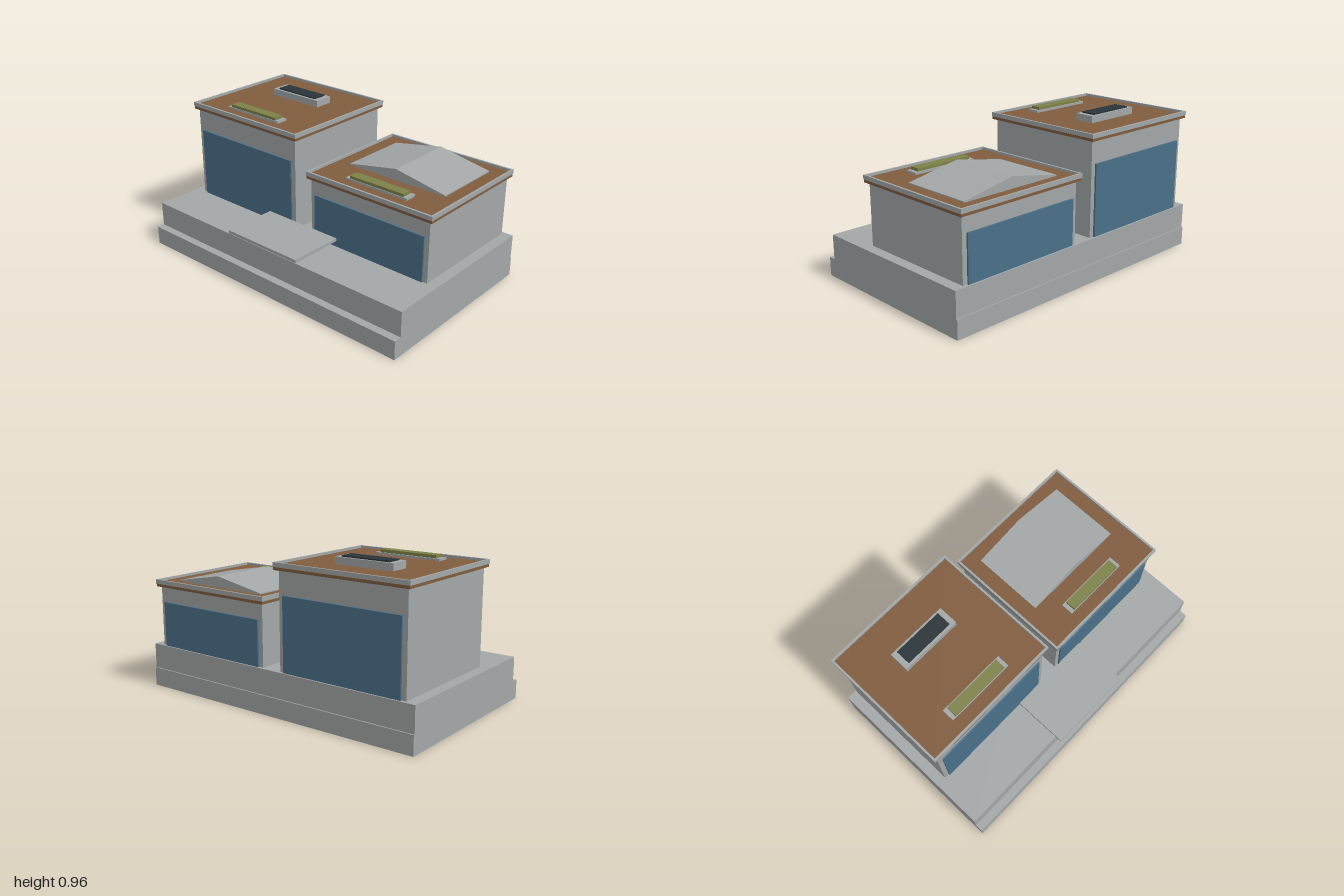
import * as THREE from 'three';

export function createModel() {
  const mat = (name, color) => {
    const m = new THREE.MeshStandardMaterial({ color });
    m.name = name;
    return m;
  };
  const concrete = mat('concrete', 0xa3a7a7);
  const timber = mat('timber', 0x805c3e);
  const glass = mat('glass', 0x4a7088);
  const foliage = mat('foliage', 0x7c8248);
  const panel = mat('dark panel', 0x2a3438);

  const model = new THREE.Group();
  model.name = 'pavilions';

  const add = (parent, name, geometry, material) => {
    const mesh = new THREE.Mesh(geometry, material);
    mesh.name = name;
    parent.add(mesh);
    return mesh;
  };
  // Box given by its lower and upper limits on each axis
  const box = (parent, name, material, [x0, x1], [y0, y1], [z0, z1]) =>
    add(parent, name, new THREE.BoxGeometry(x1 - x0, y1 - y0, z1 - z0), material)
      .position.set((x0 + x1) / 2, (y0 + y1) / 2, (z0 + z1) / 2);

  // Rectangular roof rim, open in the middle
  const rim = (parent, [x0, x1], [y0, y1], [z0, z1], t) => {
    const rect = (Type, a, b, c, d) => new Type([
      new THREE.Vector2(a, c), new THREE.Vector2(b, c),
      new THREE.Vector2(b, d), new THREE.Vector2(a, d),
    ]);
    const shape = rect(THREE.Shape, x0, x1, -z1, -z0);
    shape.holes.push(rect(THREE.Path, x0 + t, x1 - t, -z1 + t, -z0 - t));
    const g = new THREE.ExtrudeGeometry(shape, { depth: y1 - y0, bevelEnabled: false });
    g.rotateX(-Math.PI / 2).translate(0, y0, 0);
    add(parent, 'parapet', g, concrete);
  };

  // Stepped base
  box(model, 'lowerPlinth', concrete, [-1, 1], [0, 0.12], [-0.6, 0.6]);
  box(model, 'upperPlinth', concrete, [-1, 1], [0.12, 0.28], [-0.592, 0.55]);

  // Entrance slab between the blocks
  box(model, 'entranceCanopy', concrete, [-0.28, 0.28], [0.323, 0.342], [0.245, 0.6]);

  // One block: walls, glazing front and back, roof and planter
  const block = (name, cx, wallTop, glassTop) => {
    const g = new THREE.Group();
    g.name = name;
    model.add(g);
    const span = (half) => [cx - half, cx + half];
    box(g, 'walls', concrete, span(0.433), [0.28, wallTop], [-0.572, 0.228]);
    box(g, 'frontGlazing', glass, span(0.402), [0.28, glassTop], [0.228, 0.237]);
    box(g, 'backGlazing', glass, span(0.402), [0.28, glassTop], [-0.583, -0.572]);
    box(g, 'roofDeck', timber, span(0.455), [wallTop, wallTop + 0.018], [-0.595, 0.248]);
    box(g, 'roofSurface', timber, span(0.445), [wallTop + 0.018, wallTop + 0.03], [-0.585, 0.238]);
    rim(g, span(0.458), [wallTop + 0.018, wallTop + 0.045], [-0.598, 0.251], 0.013);
    return g;
  };
  const planter = (g, cx, deck) => {
    box(g, 'planterTray', concrete, [cx - 0.222, cx + 0.222], [deck, deck + 0.014], [0.077, 0.157]);
    box(g, 'planting', foliage, [cx - 0.195, cx + 0.195], [deck + 0.014, deck + 0.032], [0.087, 0.153]);
  };

  // Tall block with a roof unit
  const tall = block('tallBlock', -0.5, 0.879, 0.735);
  planter(tall, -0.502, 0.909);
  box(tall, 'roofUnit', concrete, [-0.7, -0.305], [0.909, 0.953], [-0.363, -0.236]);
  box(tall, 'roofUnitPanel', panel, [-0.665, -0.34], [0.953, 0.961], [-0.348, -0.252]);

  // Low block with a shallow gabled roof light
  const low = block('lowBlock', 0.5, 0.667, 0.567);
  planter(low, 0.498, 0.697);
  const gable = new THREE.Shape([
    new THREE.Vector2(0.15, 0.697), new THREE.Vector2(0.85, 0.697),
    new THREE.Vector2(0.85, 0.704), new THREE.Vector2(0.5, 0.768),
    new THREE.Vector2(0.15, 0.704),
  ]);
  const gableGeometry = new THREE.ExtrudeGeometry(gable, { depth: 0.467, bevelEnabled: false });
  gableGeometry.translate(0, 0, -0.497);
  add(low, 'gabledRoofLight', gableGeometry, concrete);

  return model;
}
